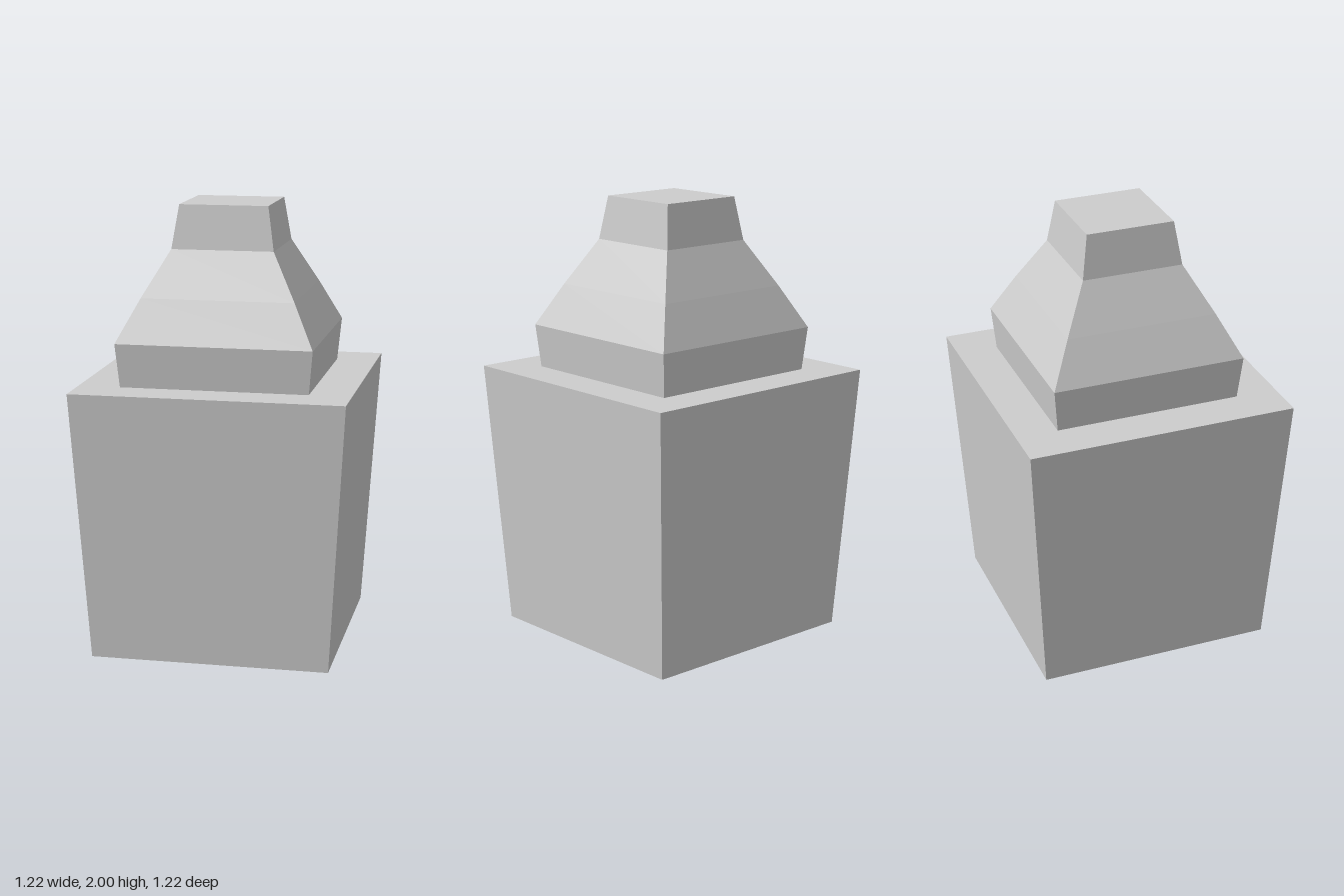
import * as THREE from 'three';

// Square solid of stacked tapers; each profile entry is [half width, height]
function squareLathe(name, profile, material) {
  const points = profile.map(([half, y]) => new THREE.Vector2(half * Math.SQRT2, y));
  const geometry = new THREE.LatheGeometry(points, 4, Math.PI / 4).toNonIndexed();
  geometry.computeVertexNormals(); // one normal per face keeps all edges sharp
  const mesh = new THREE.Mesh(geometry, material);
  mesh.name = name;
  return mesh;
}

export function createModel() {
  const model = new THREE.Group();
  model.name = 'squareBottle';

  const grey = new THREE.MeshStandardMaterial({ color: 0xcccccc });
  grey.name = 'light grey';

  // Tapered block, wider at the top
  model.add(squareLathe('body', [[0, 0], [0.535, 0], [0.608, 1.215], [0, 1.215]], grey));

  // Flared collar, bent shoulder and narrow neck
  model.add(squareLathe('stopper', [
    [0.42, 1.215], [0.438, 1.41], [0.342, 1.6], [0.229, 1.805], [0.199, 2], [0, 2],
  ], grey));

  return model;
}
